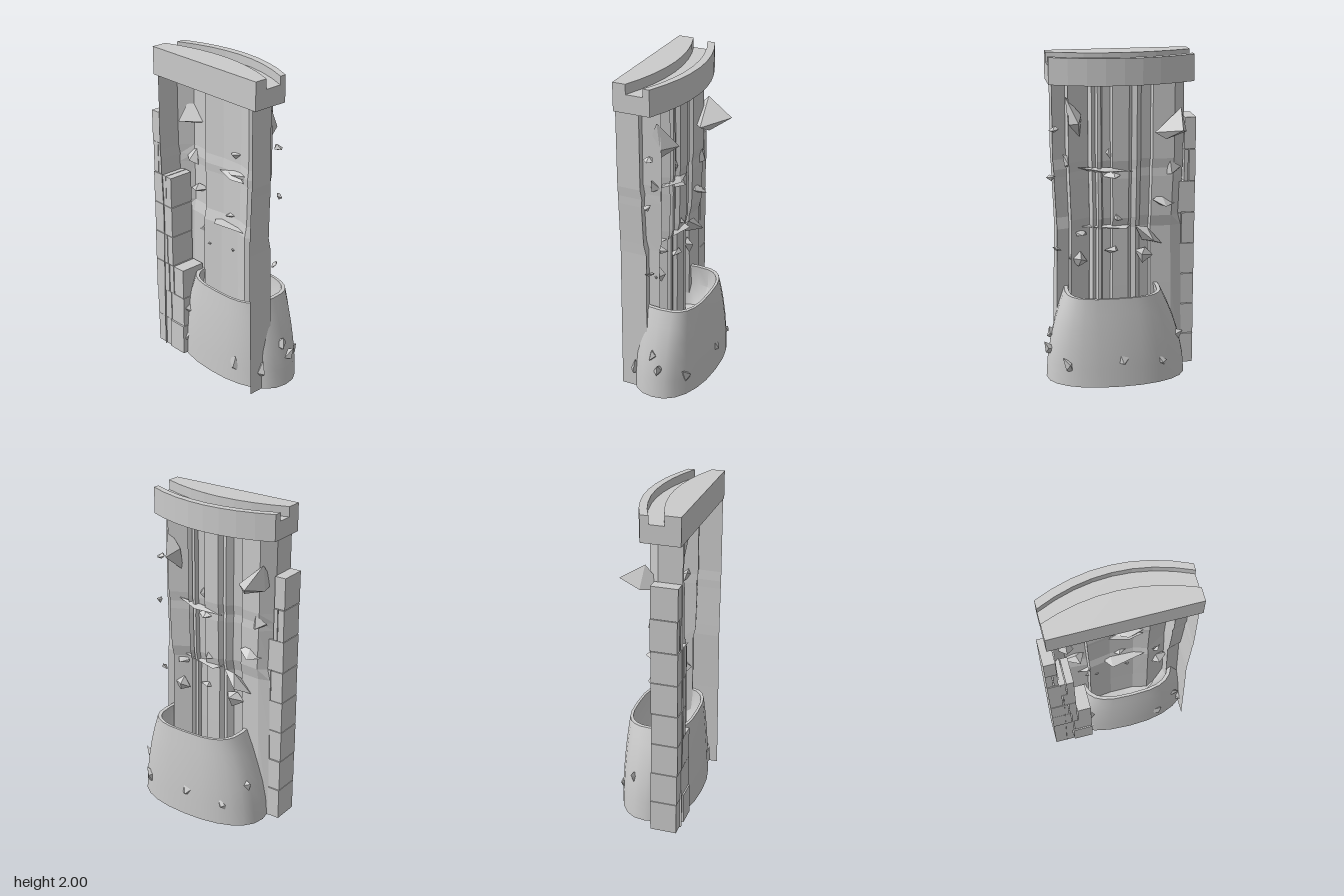
import * as THREE from 'three';
import { toCreasedNormals } from 'three/addons/utils/BufferGeometryUtils.js';
import { ConvexGeometry } from 'three/addons/geometries/ConvexGeometry.js';

const flat = new THREE.MeshStandardMaterial({ color: 0xcccccc, flatShading: true, side: THREE.DoubleSide });
const smooth = new THREE.MeshStandardMaterial({ color: 0xcccccc, side: THREE.DoubleSide });

let seed = 7;
const rnd = () => (seed = (seed * 16807) % 2147483647) / 2147483647;

export function createModel() {
  const model = new THREE.Group();
  const add = (name, geometry, material = flat) => {
    const mesh = new THREE.Mesh(geometry, material);
    mesh.name = name;
    model.add(mesh);
    return mesh;
  };

  // Lintel: arcs in plan are [z at -x end, z at middle, z at +x end]
  const L = -0.44, R = 0.425;
  const arc = ([a, m, b]) => Array.from({ length: 9 }, (_, i) => {
    const t = i / 8, c = 2 * m - (a + b) / 2;
    return new THREE.Vector2(L + (R - L) * t, -((1 - t) ** 2 * a + 2 * t * (1 - t) * c + t * t * b));
  });
  const slab = (name, front, back, y0, y1) => {
    const shape = new THREE.Shape([...arc(front), ...arc(back).reverse()]);
    const g = new THREE.ExtrudeGeometry(shape, { depth: y1 - y0, bevelEnabled: false });
    add(name, g.rotateX(-Math.PI / 2).translate(0, y0, 0));
  };
  const face = [0.235, 0.235, 0.235], grooveFront = [0.14, 0.06, 0.155];
  const grooveBack = [0.05, -0.05, 0.05], rear = [0, -0.095, 0.01];
  slab('lintelFront', face, grooveFront, 1.83, 2);
  slab('lintelChannelFloor', grooveFront, grooveBack, 1.83, 1.94);
  slab('lintelBackLip', grooveBack, rear, 1.83, 1.99);

  // Folded sheets: a plan profile carried through several heights
  const levels = [ // y, side pull-in, z shift
    [1.83, 0, 0], [1.36, 0, 0], [1.3, 0.005, 0.008], [1.25, 0.006, 0.004],
    [1.0, 0.016, 0.008], [0.93, 0.018, 0.024], [0.56, 0.01, 0.024], [0, 0, 0.028]];
  const foldedSheet = (name, profile) => {
    const cols = profile.length;
    const sheet = new THREE.PlaneGeometry(1, 1, cols - 1, levels.length - 1);
    const p = sheet.attributes.position;
    for (let i = 0; i < p.count; i++) {
      const [x, z] = profile[i % cols], [y, pull, shift] = levels[Math.floor(i / cols)];
      const dz = z > 0.2 ? 0 : z > 0.08 ? -shift : shift;
      p.setXYZ(i, x * (1 - pull / 0.4), y, z + dz);
    }
    add(name, sheet);
  };
  foldedSheet('foldedWall', [
    [-0.4, 0.235], [-0.4, 0.09], [-0.33, 0.02], [-0.2, 0.03], [-0.19, 0.055], [-0.05, 0.035],
    [0.1, 0.035], [0.19, 0.06], [0.315, -0.005], [0.32, 0.11], [0.4, 0.09], [0.4, 0.235]]);
  foldedSheet('rearStreams', [
    [-0.13, 0.045], [-0.1, 0.01], [-0.07, 0.025], [-0.05, 0], [0.05, 0], [0.06, 0.025],
    [0.11, 0.022], [0.12, 0], [0.14, 0.002], [0.15, 0.03], [0.175, 0.005], [0.19, 0.055]]);

  // Flared oval basin, squarer toward the rim, with a thick lip and a sunken bowl
  const basinAt = (c, s, r, y) => {
    const t = (y / 0.56) ** 1.8;
    const oval = v => Math.sign(v) * Math.abs(v) ** (0.88 - 0.2 * t);
    return [0.035 + 0.02 * t + oval(c) * r * (0.435 - 0.14 * t), y, oval(s) * r * (0.238 - 0.038 * t)];
  };
  const section = [[1, 0], [1, 0.12], [1, 0.24], [1, 0.36], [1, 0.46], [1, 0.56],
    [0.92, 0.56], [0.8, 0.42], [0.55, 0.3], [0.01, 0.27]];
  const basin = new THREE.LatheGeometry(section.map(([r, y]) => new THREE.Vector2(r, y)), 24);
  const bp = basin.attributes.position;
  for (let i = 0; i < bp.count; i++) {
    const x = bp.getX(i), z = bp.getZ(i), r = Math.hypot(x, z);
    bp.setXYZ(i, ...basinAt(x / r, z / r, r, bp.getY(i)));
  }
  add('basin', toCreasedNormals(basin, 0.7), smooth);

  // Stepped brick pier: each row lists its vertical joints in x
  const rows = [
    [-0.475, -0.35, -0.22], [-0.475, -0.34, -0.22], [-0.475, -0.35, -0.31, -0.22],
    [-0.475, -0.36, -0.31], [-0.475, -0.39, -0.31], [-0.475, -0.36, -0.31],
    [-0.475, -0.43, -0.4], [-0.475, -0.4]];
  const pier = new THREE.Group();
  pier.name = 'brickPier';
  rows.forEach((joints, row) => {
    for (let i = 0; i < joints.length - 1; i++) {
      const w = joints[i + 1] - joints[i];
      const brick = new THREE.Mesh(new THREE.BoxGeometry(w - 0.005, 0.196, 0.162), flat);
      brick.name = 'brick';
      brick.position.set(joints[i] + w / 2, row * 0.2 + 0.1, 0.147 + (rnd() - 0.5) * 0.01);
      pier.add(brick);
    }
  });
  model.add(pier);

  // Faceted stones: hull of a jittered octahedron
  const stone = (name, x, y, z, sx, sy, sz, tilt = 0) => {
    const pts = [];
    for (let i = 0; i < 6; i++) {
      const p = new THREE.Vector3();
      p.setComponent(i % 3, i < 3 ? 1 : -1);
      pts.push(p.add(new THREE.Vector3(rnd() - 0.5, rnd() - 0.5, rnd() - 0.5)).multiply(new THREE.Vector3(sx, sy, sz)));
    }
    const mesh = add(name, new ConvexGeometry(pts));
    mesh.position.set(x, y, z);
    mesh.rotation.z = tilt;
  };

  // Large stones near the top of the wall
  stone('largeStone', -0.32, 1.54, -0.03, 0.09, 0.1, 0.11, 0.3);
  stone('largeStone', 0.29, 1.62, 0.01, 0.05, 0.1, 0.09, -0.35);

  // Thin ledges that cut through the wall
  stone('ledge', 0.08, 1.3, 0.03, 0.16, 0.025, 0.06, 0.08);
  stone('ledge', 0.05, 1.27, 0.04, 0.1, 0.025, 0.05, -0.1);
  stone('ledge', 0.01, 0.95, 0.05, 0.16, 0.014, 0.05);

  // Small stones lodged in the wall: x, y, size, tilt
  const wallStones = [
    [-0.33, 1.3, 0.07, -0.5], [0.06, 1.41, 0.05, 0], [0.31, 1.35, 0.045, 1.2], [0.41, 1.27, 0.03, 0],
    [0.4, 1.56, 0.03, 0], [-0.26, 1.09, 0.055, 0.3], [0.02, 1.01, 0.055, 0.6], [-0.17, 0.88, 0.08, 0.5],
    [0.24, 0.91, 0.055, 0.8], [-0.15, 0.75, 0.06, 0.4], [0.04, 0.79, 0.04, 0], [0.27, 0.75, 0.055, 0.3],
    [0.39, 0.82, 0.035, 0.5]];
  for (const [x, y, s, tilt] of wallStones) {
    stone('wallStone', x, y, 0.035, s, s * 0.6, s * 0.8, tilt);
  }

  // Shards embedded around the basin: angle from +x toward +z, height
  const shards = [[0.72, 0.27], [0.6, 0.13], [1.15, 0.13], [2.2, 0.11], [0.05, 0.28], [-0.1, 0.2],
    [-0.8, 0.13], [-1.6, 0.17], [-2.2, 0.14], [2.25, 0.32], [-2.8, 0.27]];
  for (const [a, y] of shards) {
    const [px, py, pz] = basinAt(Math.cos(a), Math.sin(a), 0.98, y);
    stone('basinShard', px, py, pz, 0.035, 0.05, 0.025, -0.5);
  }
  return model;
}
